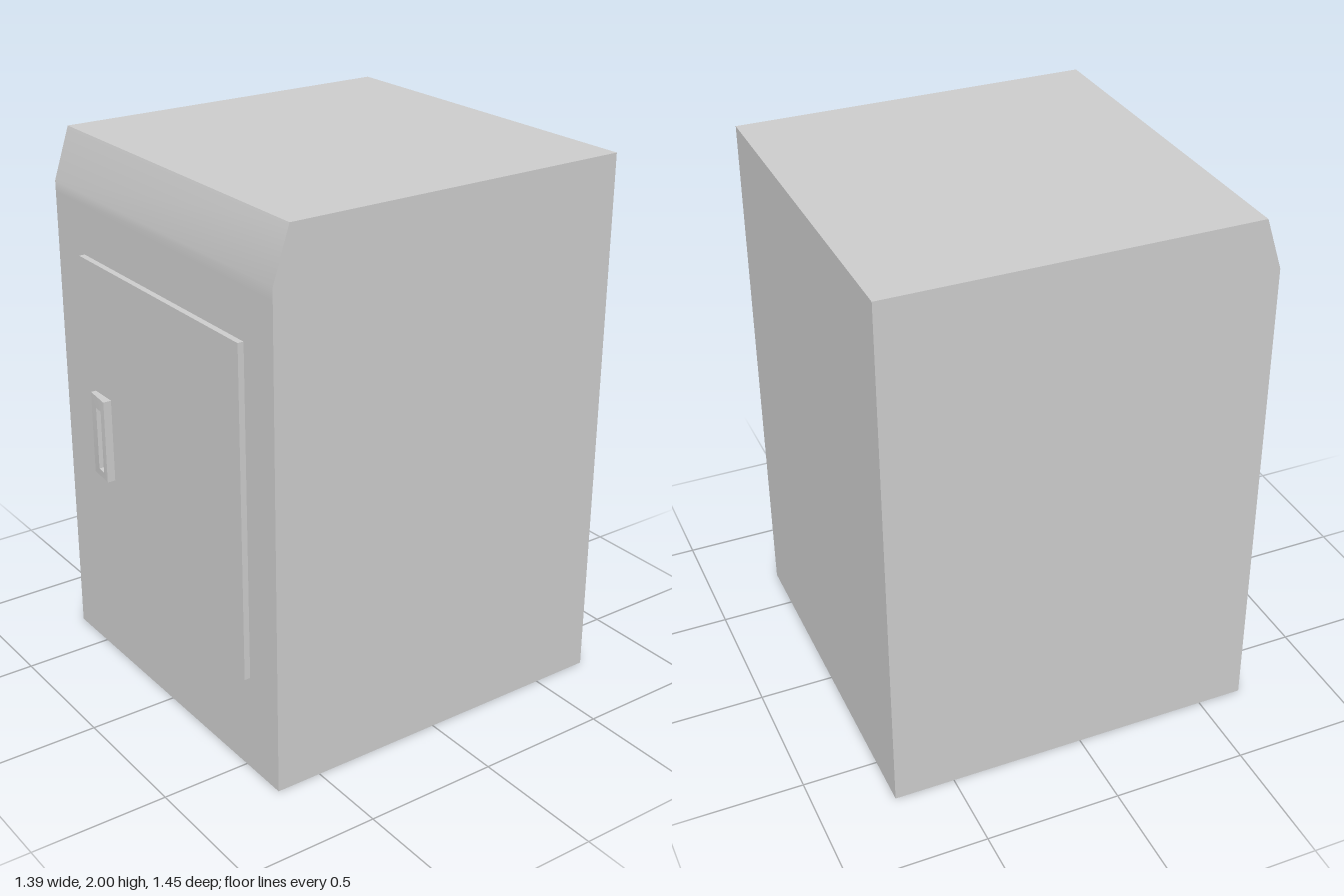
import * as THREE from 'three';
import { toCreasedNormals } from 'three/addons/utils/BufferGeometryUtils.js';

const material = new THREE.MeshStandardMaterial({ color: 0xcccccc });

function addPart(group, name, geometry) {
  const mesh = new THREE.Mesh(geometry, material);
  mesh.name = name;
  group.add(mesh);
  return mesh;
}

// Rectangle outline from its edges
function rectPoints(x0, x1, y0, y1) {
  return [[x0, y0], [x1, y0], [x1, y1], [x0, y1]].map(p => new THREE.Vector2(...p));
}

export function createModel() {
  const group = new THREE.Group();
  group.name = 'cabinet';

  // Cabinet body: side profile (z, y) swept across the width, soft bend at the sloped top front
  const width = 1.39;
  const profile = [[-0.723, 0], [0.67, 0], [0.67, 1.77], [0.67, 1.81], [0.607, 2], [-0.723, 2]];
  const bodyShape = new THREE.Shape(profile.map(p => new THREE.Vector2(...p)));
  const body = new THREE.ExtrudeGeometry(bodyShape, { depth: width, bevelEnabled: false });
  body.rotateY(-Math.PI / 2).translate(width / 2, 0, 0);
  addPart(group, 'body', toCreasedNormals(body, 0.6));

  // Raised door panel
  const door = addPart(group, 'door', new THREE.BoxGeometry(1.03, 1.22, 0.03));
  door.position.set(0.015, 0.975, 0.677);

  // Handle plate with a finger slot; its front slopes outward towards +x
  const plate = new THREE.Shape(rectPoints(-0.432, -0.32, 0.773, 1.09));
  plate.holes.push(new THREE.Path(rectPoints(-0.386, -0.346, 0.803, 1.045).reverse()));
  const handle = new THREE.ExtrudeGeometry(plate, { depth: 0.03, bevelEnabled: false });
  const pos = handle.attributes.position;
  for (let i = 0; i < pos.count; i++) {
    if (pos.getZ(i) < 0.01) continue;
    const t = (pos.getX(i) + 0.432) / 0.112;
    pos.setZ(i, 0.02 + 0.011 * (1 - (1 - t) ** 2));
  }
  handle.translate(0, 0, 0.692);
  addPart(group, 'handle', toCreasedNormals(handle, 0.4));

  return group;
}
